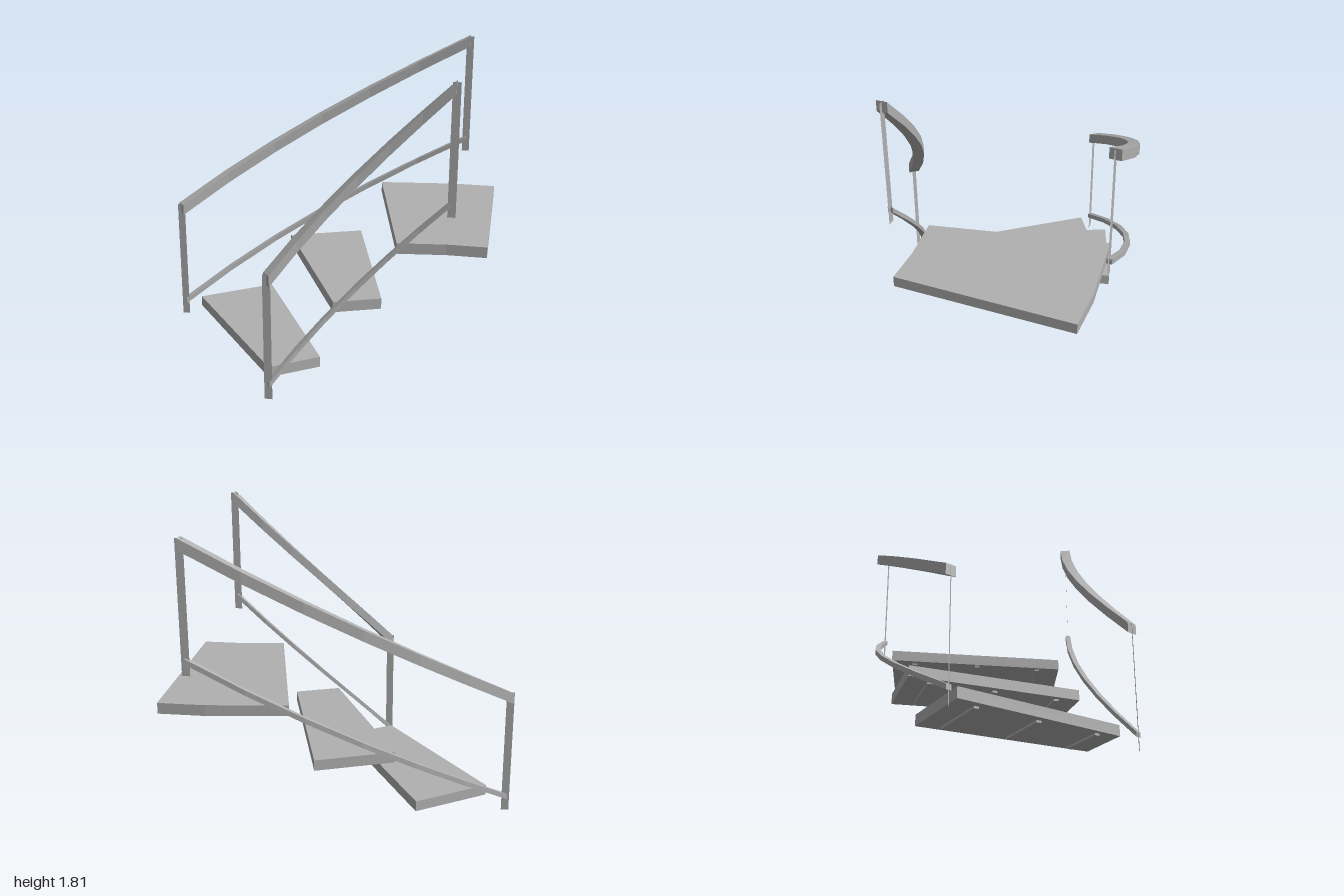
import * as THREE from 'three';

export function createModel() {
  const model = new THREE.Group();
  model.name = 'curvedStaircase';

  const grey = new THREE.MeshStandardMaterial({ color: 0xb0b0b0 });
  grey.name = 'grey';
  grey.side = THREE.DoubleSide;

  const add = (name, geometry, parent = model) => {
    const mesh = new THREE.Mesh(geometry, grey);
    mesh.name = name;
    parent.add(mesh);
    return mesh;
  };

  // Square bar following a rising arc, with upright cross-sections
  function railGeometry({ x0, z0, x1, z1 }, y0, y1, size) {
    const dx = x1 - x0, dz = z0 - z1, steps = 6, h = size / 2;
    const total = 2 * Math.atan2(dz, dx);
    const radius = dx / Math.sin(total);
    const rings = [];
    for (let i = 0; i <= steps; i++) {
      const t = i / steps, a = total * (1 - t), y = y0 + (y1 - y0) * t;
      rings.push([[h, h], [-h, h], [-h, -h], [h, -h]].map(([out, up]) => [
        x1 - (radius + out) * Math.sin(a),
        y + up,
        z1 + radius - (radius + out) * Math.cos(a),
      ]));
    }
    const pos = [];
    const quad = (a, b, c, d) => [a, b, c, a, c, d].forEach((p) => pos.push(...p));
    for (let i = 0; i < steps; i++) {
      const a = rings[i], b = rings[i + 1];
      for (let k = 0; k < 4; k++) quad(a[k], a[(k + 1) % 4], b[(k + 1) % 4], b[k]);
    }
    const s = rings[0], e = rings[steps];
    quad(s[0], s[3], s[2], s[1]);
    quad(e[0], e[1], e[2], e[3]);
    const g = new THREE.BufferGeometry();
    g.setAttribute('position', new THREE.Float32BufferAttribute(pos, 3));
    g.computeVertexNormals();
    return g;
  }

  // Railings: handrail, lower rail and two flat posts on each side
  const sides = {
    outer: { x0: -0.976, z0: -0.16, x1: 0.795, z1: -0.815 },
    inner: { x0: -0.175, z0: 0.818, x1: 0.795, z1: 0.452 },
  };
  for (const [side, path] of Object.entries(sides)) {
    const railing = new THREE.Group();
    railing.name = side + 'Railing';
    model.add(railing);
    add(side + 'Handrail', railGeometry(path, 0.745, 1.777, 0.065), railing);
    add(side + 'LowerRail', railGeometry(path, 0.094, 1.127, 0.032), railing);
    const posts = [
      ['BottomPost', path.x0, path.z0, 0, 0.775],
      ['TopPost', path.x1, path.z1, 1.04, 1.805],
    ];
    for (const [name, x, z, bottom, top] of posts) {
      add(side + name, new THREE.PlaneGeometry(0.046, top - bottom), railing)
        .position.set(x, (bottom + top) / 2, z);
    }
  }

  // Treads: plan outline [x, z], top height, and strips [x, z, length] below
  const treads = [
    {
      top: 0.145, turn: 33.2,
      outline: [[-0.856, -0.13], [-0.444, -0.4], [0.07, 0.537], [-0.198, 0.714]],
      strips: [[-0.14, 0.51, 0.28], [-0.355, 0.183, 0.325], [-0.572, -0.147, 0.38]],
    },
    {
      top: 0.49, turn: 20.5,
      outline: [[-0.32, -0.465], [0.128, -0.634], [0.409, 0.404], [0.142, 0.503]],
      strips: [[0.226, 0.32, 0.25], [0.09, -0.047, 0.305], [-0.048, -0.42, 0.36]],
    },
    {
      top: 0.835, turn: 6.6,
      outline: [[0.26, -0.666], [0.727, -0.722], [1, -0.722], [1, 0.35], [0.77, 0.35], [0.487, 0.382]],
      strips: [[0.6, 0.228, 0.25], [0.555, -0.155, 0.335], [0.525, -0.552, 0.41]],
    },
  ];
  const thickness = 0.065, drop = 0.013;
  treads.forEach(({ top, turn, outline, strips }, i) => {
    const step = new THREE.Group();
    step.name = 'step' + (i + 1);
    model.add(step);
    const shape = new THREE.Shape(outline.map(([x, z]) => new THREE.Vector2(x, z)));
    const slab = new THREE.ExtrudeGeometry(shape, { depth: thickness, bevelEnabled: false });
    slab.rotateX(Math.PI / 2);
    add('tread', slab, step).position.y = top;
    for (const [x, z, length] of strips) {
      const strip = add('supportStrip', new THREE.BoxGeometry(length, drop, 0.03), step);
      strip.position.set(x, top - thickness - drop / 2, z);
      strip.rotation.y = THREE.MathUtils.degToRad(turn);
    }
  });

  return model;
}
